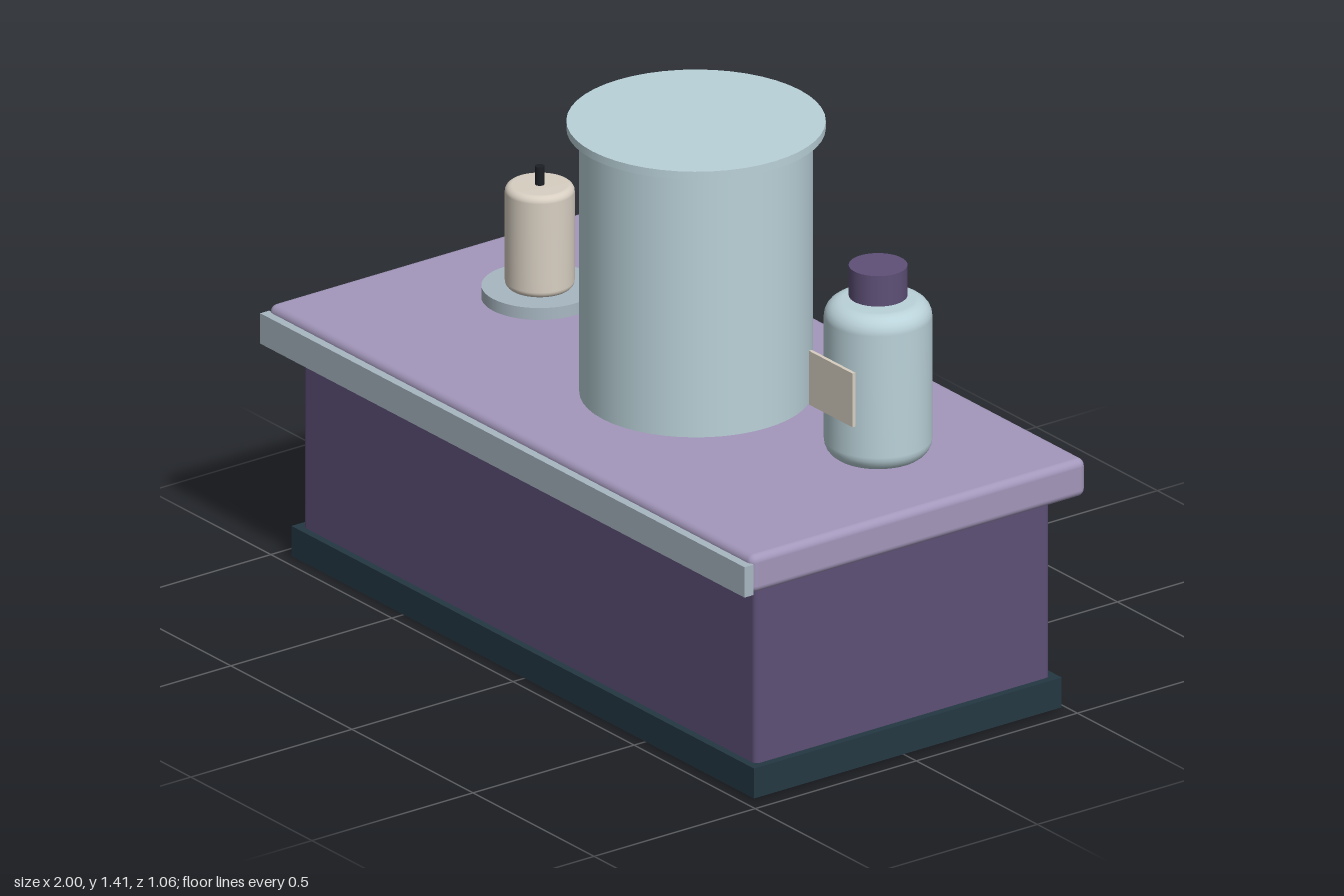
import * as THREE from 'three';
import { RoundedBoxGeometry } from 'three/addons/geometries/RoundedBoxGeometry.js';

const mat = (name, color) => {
  const m = new THREE.MeshStandardMaterial({ color });
  m.name = name;
  return m;
};

export function createModel() {
  const group = new THREE.Group();
  const plum = mat('plum', 0x5e5077);
  const lilac = mat('lilac', 0xa397bb);
  const navy = mat('darkTeal', 0x243843);
  const paleBlue = mat('paleBlue', 0xbad2d9);
  const steel = mat('steelBlue', 0xa8b7c2);
  const cream = mat('cream', 0xd8cfc2);
  const black = mat('black', 0x1c1f24);

  const add = (name, geometry, material, x, y, z) => {
    const mesh = new THREE.Mesh(geometry, material);
    mesh.name = name;
    mesh.position.set(x, y, z);
    group.add(mesh);
    return mesh;
  };
  // Box between given height limits and depth limits, centred on x
  const block = (name, w, y0, y1, z0, z1, material, r = 0) => {
    const size = [w, y1 - y0, z1 - z0];
    const geo = r ? new RoundedBoxGeometry(...size, 4, r) : new THREE.BoxGeometry(...size);
    return add(name, geo, material, 0, (y0 + y1) / 2, (z0 + z1) / 2);
  };
  // Upright cylinder standing at y0
  const disc = (name, r, y0, y1, x, z, material) =>
    add(name, new THREE.CylinderGeometry(r, r, y1 - y0, 48), material, x, (y0 + y1) / 2, z);
  // Upright cylinder with rounded rims
  const roundedCylinder = (name, r, y0, y1, bevel, x, z, material) => {
    const h = y1 - y0, pts = [new THREE.Vector2(0, 0)];
    for (let i = 0; i <= 6; i++) {
      const a = (i / 6) * Math.PI / 2;
      pts.push(new THREE.Vector2(r - bevel + bevel * Math.sin(a), bevel - bevel * Math.cos(a)));
    }
    for (let i = 0; i <= 6; i++) {
      const a = (i / 6) * Math.PI / 2;
      pts.push(new THREE.Vector2(r - bevel + bevel * Math.cos(a), h - bevel + bevel * Math.sin(a)));
    }
    pts.push(new THREE.Vector2(0, h));
    return add(name, new THREE.LatheGeometry(pts, 48), material, x, y0, z);
  };

  // Cabinet: body, plinth, worktop and front trim
  block('cabinetBody', 1.87, 0, 0.585, -0.465, 0.45, plum, 0.015);
  block('plinth', 1.91, 0.004, 0.085, -0.485, 0.47, navy);
  block('worktop', 2, 0.578, 0.68, -0.53, 0.51, lilac, 0.02);
  block('frontTrim', 2, 0.578, 0.66, 0.505, 0.533, steel);

  // Large drum with a thin lid
  disc('drum', 0.29, 0.67, 1.39, 0.08, -0.008, paleBlue);
  disc('drumLid', 0.322, 1.39, 1.411, 0.08, -0.008, paleBlue);

  // Bottle with cap and label
  roundedCylinder('bottle', 0.135, 0.68, 1.098, 0.045, 0.664, -0.134, paleBlue);
  disc('bottleCap', 0.073, 1.108, 1.19, 0.664, -0.134, plum);
  add('bottleLabel', new THREE.BoxGeometry(0.18, 0.145, 0.0095), cream, 0.66, 0.89, 0.0055);

  // Candle on a dish
  disc('candleDish', 0.145, 0.68, 0.712, -0.628, -0.055, steel);
  roundedCylinder('candle', 0.087, 0.71, 0.985, 0.018, -0.628, -0.055, cream);
  disc('wick', 0.012, 0.975, 1.034, -0.628, -0.055, black);

  return group;
}
